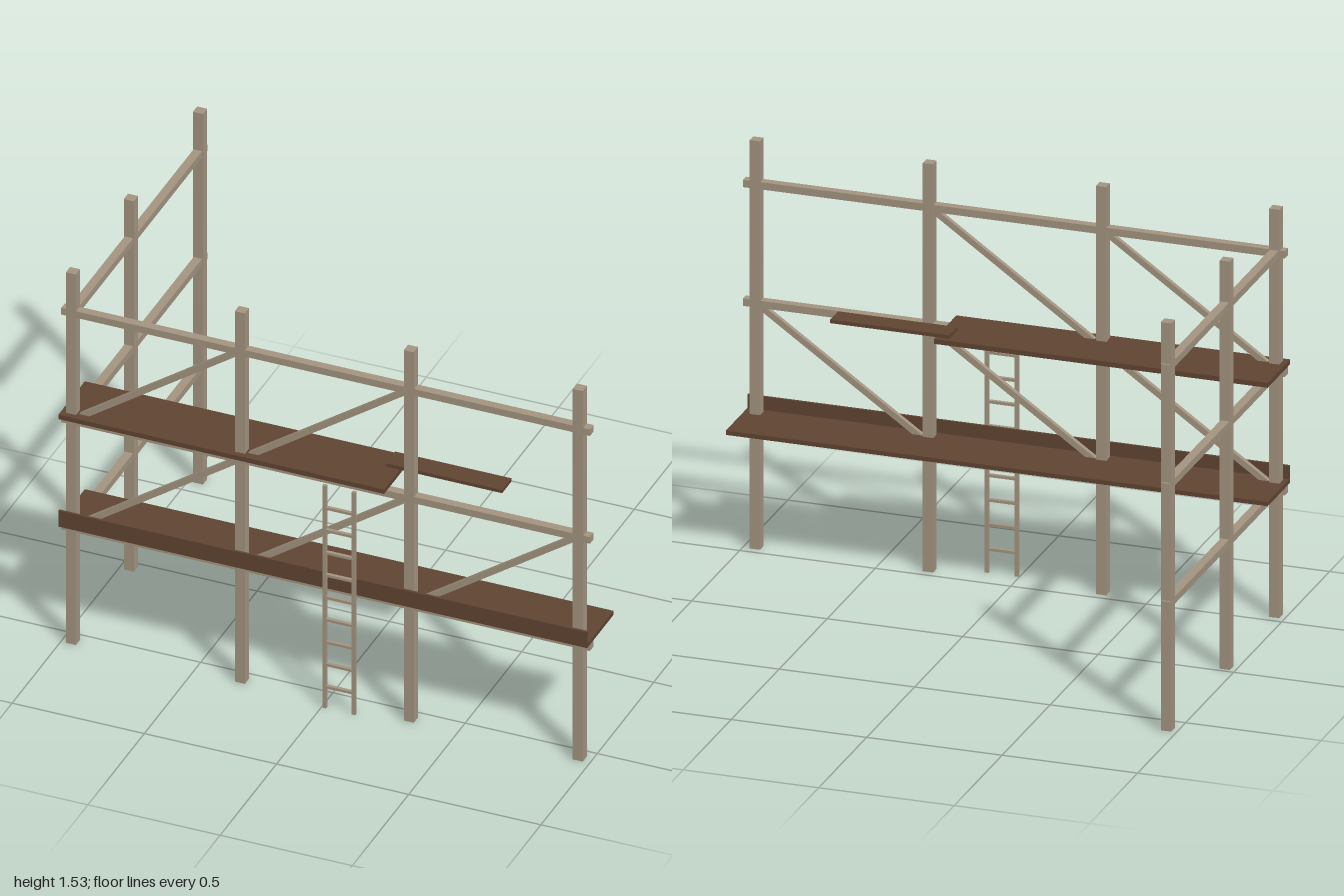
import * as THREE from 'three';

export function createModel() {
  const model = new THREE.Group();
  const timber = new THREE.MeshStandardMaterial({ color: 0xa39480 });
  const board = new THREE.MeshStandardMaterial({ color: 0x5f4432 });

  // Box given by its min/max extents on each axis
  function box(name, [x0, x1], [y0, y1], [z0, z1], material, parent = model) {
    const mesh = new THREE.Mesh(new THREE.BoxGeometry(x1 - x0, y1 - y0, z1 - z0), material);
    mesh.position.set((x0 + x1) / 2, (y0 + y1) / 2, (z0 + z1) / 2);
    mesh.name = name;
    parent.add(mesh);
    return mesh;
  }
  const around = (c, size) => [c - size / 2, c + size / 2];

  const postX = [-0.962, -0.323, 0.316, 0.955];
  const sideZ = [0.035, -0.577];
  const frontZ = 0.549;
  const levels = [0.475, 0.918, 1.363];

  // Upright posts: a front row and a return along one side
  const post = (x, z) => box('post', around(x, 0.038), [0, 1.53], around(z, 0.038), timber);
  postX.forEach((x) => post(x, frontZ));
  sideZ.forEach((z) => post(postX[0], z));

  // Horizontal rails at three levels
  for (const y of levels) {
    box('frontRail', [-1, 1], around(y, 0.027), around(frontZ, 0.032), timber);
    box('sideRail', around(postX[0], 0.032), around(y, 0.0268), [-0.604, 0.564], timber);
  }

  // Diagonal braces, one per bay: [bay, lower level]
  for (const [bay, level] of [[0, 0], [1, 0], [2, 0], [0, 1], [1, 1]]) {
    const dx = postX[bay + 1] - postX[bay];
    const dy = levels[level + 1] - levels[level];
    const brace = box('brace', around(postX[bay] + dx / 2, Math.hypot(dx, dy)),
      around(levels[level] + dy / 2, 0.022), around(frontZ, 0.018), timber);
    brace.rotation.z = Math.atan2(dy, dx);
  }

  // Walkway boards
  box('lowerDeck', [-1, 1], [0.488, 0.504], [0.355, 0.583], board);
  box('toeBoard', [-1, 1], [0.488, 0.554], [0.581, 0.59], board);
  box('upperDeck', [-1, 0.232], [0.932, 0.95], [0.355, 0.59], board);
  box('loosePlank', [0.18, 0.62], [0.952, 0.965], [0.37, 0.453], board);

  // Ladder
  const ladder = new THREE.Group();
  ladder.name = 'ladder';
  model.add(ladder);
  for (const x of [0.011, 0.122]) {
    box('ladderStile', around(x, 0.014), [0, 0.918], [0.591, 0.603], timber, ladder);
  }
  for (let i = 0; i < 9; i++) {
    box('ladderRung', [0.011, 0.122], around(0.088 + i * 0.0922, 0.01), [0.5905, 0.6035], timber, ladder);
  }

  return model;
}
